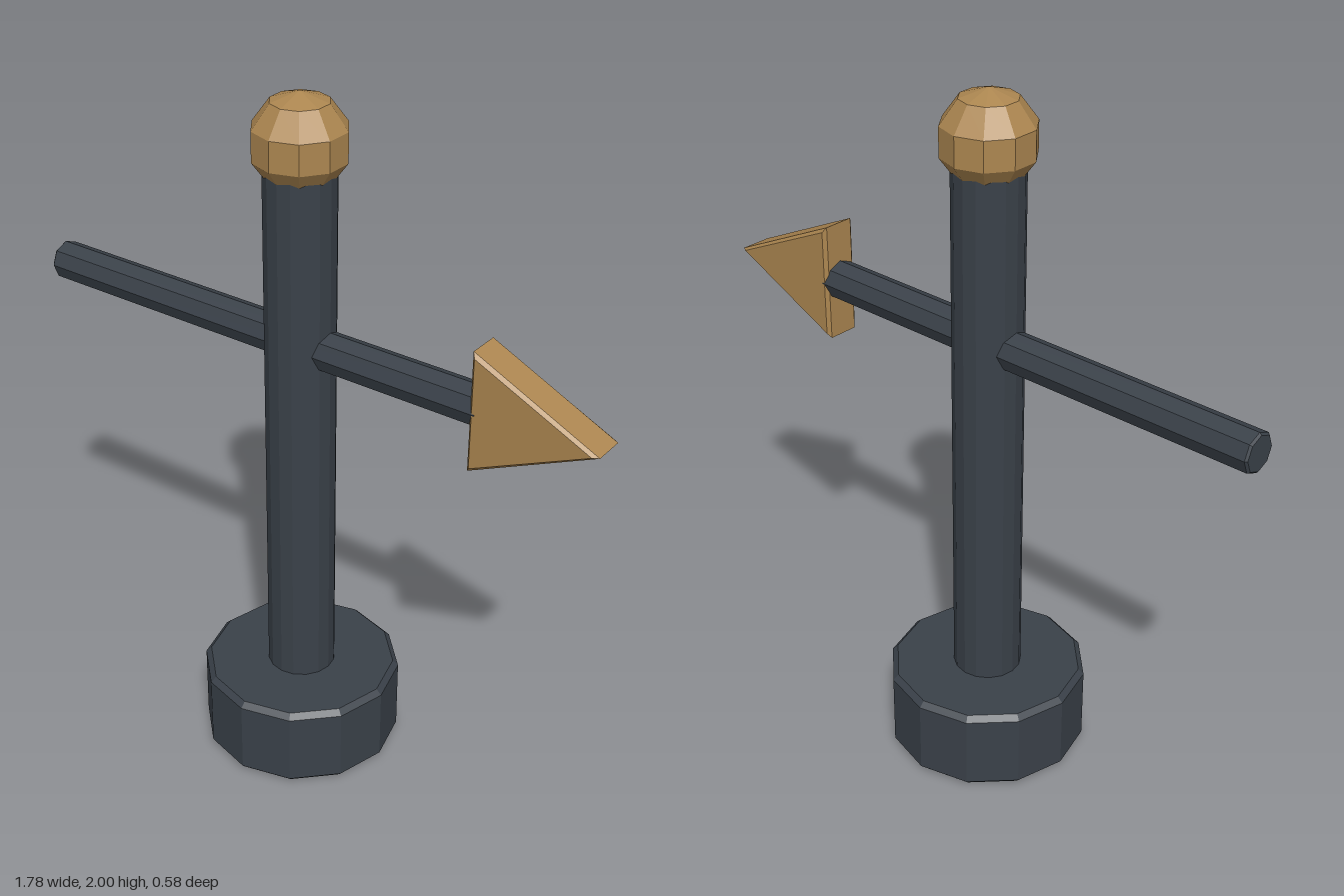
import * as THREE from 'three';

const AXIS_X = -0.032; // centre line of the post
const ARM_Y = 1.304;

export function createModel() {
  const iron = new THREE.MeshStandardMaterial({ color: 0x3a4149, flatShading: true });
  iron.name = 'dark iron';
  const brass = new THREE.MeshStandardMaterial({ color: 0xac8650, flatShading: true });
  brass.name = 'brass';

  const group = new THREE.Group();
  const add = (name, geometry, material, x, y, z = 0) => {
    const mesh = new THREE.Mesh(geometry, material);
    mesh.name = name;
    mesh.position.set(x, y, z);
    group.add(mesh);
    return mesh;
  };

  // Faceted rod with chamfered ends, standing on y = 0
  const rod = (radius, height, sides, bevel) => new THREE.LatheGeometry([
    [0, 0], [radius - bevel, 0], [radius, bevel],
    [radius, height - bevel], [radius - bevel, height], [0, height],
  ].map(([r, y]) => new THREE.Vector2(r, y)), sides);

  // Base and post
  add('base', rod(0.288, 0.25, 12, 0.016), iron, AXIS_X, 0);
  add('post', rod(0.098, 1.6, 16, 0.006), iron, AXIS_X, 0.22);

  // Knob on top of the post
  const knob = new THREE.SphereGeometry(0.134, 10, 5);
  knob.rotateY(Math.PI / 2);
  add('knob', knob, brass, AXIS_X, 1.866);

  // Horizontal arm through the post
  const arm = add('arm', rod(0.056, 1.44, 8, 0.006), iron, -0.89, ARM_Y);
  arm.rotation.z = -Math.PI / 2;

  // Arrowhead: bevelled triangular plate
  const triangle = new THREE.Shape([
    new THREE.Vector2(0.537, -0.157),
    new THREE.Vector2(0.873, 0),
    new THREE.Vector2(0.537, 0.157),
  ]);
  const head = new THREE.ExtrudeGeometry(triangle, {
    depth: 0.09, bevelEnabled: true, bevelSegments: 1, bevelSize: 0.012, bevelThickness: 0.01,
  });
  add('arrowhead', head, brass, 0, ARM_Y, -0.045);

  return group;
}
